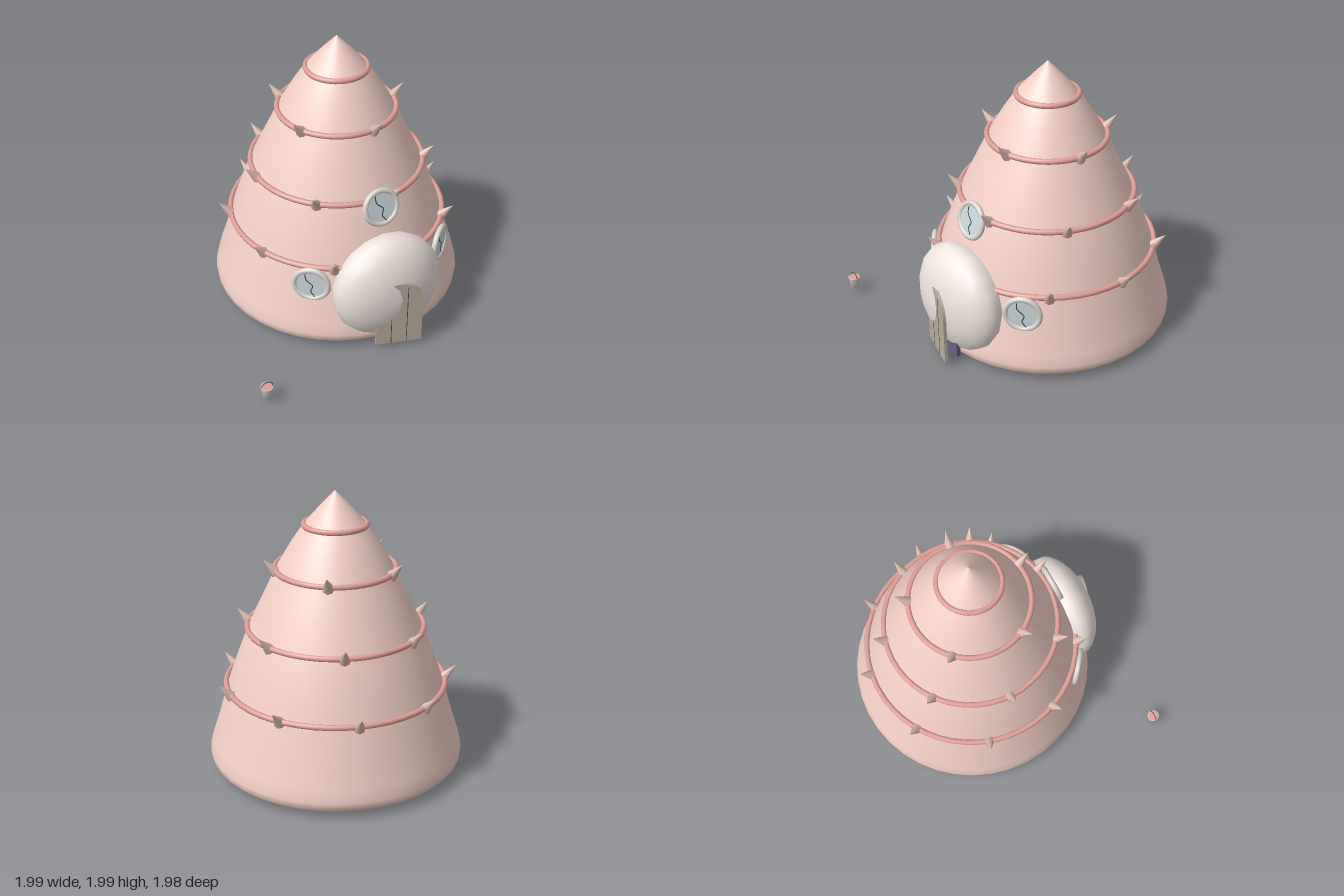
import * as THREE from 'three';

const mat = (color, side = THREE.FrontSide) => new THREE.MeshStandardMaterial({ color, side });
const pink = mat(0xf2cfc6), ringPink = mat(0xdf9f97), spikePink = mat(0xdab8ae);
const plaster = mat(0xf0e5df, THREE.DoubleSide), wood = mat(0xb8ad9e), dark = mat(0x4a4a4a);
const frameMat = mat(0xdcd6d0), glass = mat(0xccd8dc), purple = mat(0x6a6088);
const metal = mat(0xcccccc, THREE.DoubleSide);

const v2 = (pts) => pts.map(([x, y]) => new THREE.Vector2(x, y));

function add(parent, name, geometry, material, x = 0, y = 0, z = 0) {
  const m = new THREE.Mesh(geometry, material);
  m.name = name;
  m.position.set(x, y, z);
  parent.add(m);
  return m;
}

// Round window facing +z: frame, pane and a crack
function makeWindow(name) {
  const g = new THREE.Group();
  g.name = name;
  add(g, 'windowFrame', new THREE.TorusGeometry(0.12, 0.02, 8, 28), frameMat);
  add(g, 'windowPane', new THREE.CylinderGeometry(0.12, 0.12, 0.016, 28), glass).rotation.x = Math.PI / 2;
  const path = [[-0.04, 0.09], [-0.035, 0.04], [0.012, -0.01], [-0.002, -0.055], [0.025, -0.1]];
  const curve = new THREE.CatmullRomCurve3(path.map(([x, y]) => new THREE.Vector3(x, y, 0.009)));
  add(g, 'windowCrack', new THREE.TubeGeometry(curve, 20, 0.004, 5), dark);
  return g;
}

// Arched slab standing on y = 0, centred on x and z
function archGeometry(halfWidth, height, depth) {
  const s = new THREE.Shape();
  s.moveTo(-halfWidth, 0);
  s.lineTo(halfWidth, 0);
  s.lineTo(halfWidth, height - halfWidth);
  s.absarc(0, height - halfWidth, halfWidth, 0, Math.PI);
  s.closePath();
  const geo = new THREE.ExtrudeGeometry(s, { depth, bevelEnabled: false, curveSegments: 10 });
  return geo.translate(0, 0, -depth / 2);
}

export function createModel() {
  const model = new THREE.Group();
  const house = new THREE.Group();
  house.name = 'house';
  house.position.set(0.085, 0, -0.085);
  model.add(house);

  // Conical shell with a rounded foot
  const profile = v2([[0, 0.04], [0.8, 0.04], [0.87, 0.052], [0.9, 0.085], [0.905, 0.13], [0.885, 0.21],
    [0.832, 0.37], [0.762, 0.62], [0.69, 0.82], [0.605, 1.04], [0.505, 1.25], [0.405, 1.46],
    [0.3, 1.64], [0.215, 1.765], [0.11, 1.885], [0, 2]]);
  add(house, 'shellBody', new THREE.LatheGeometry(profile, 40), pink);

  // Raised rings and their spikes: [radius, height, spike count, first angle]
  const rings = [[0.775, 0.625, 9, -2], [0.615, 1.04, 7, -24.5], [0.415, 1.46, 5, 8], [0.213, 1.765, 0, 0]];
  for (const [r, y, count, start] of rings) {
    add(house, 'ring', new THREE.TorusGeometry(r, 0.02, 8, 48), ringPink, 0, y).rotation.x = Math.PI / 2;
    for (let i = 0; i < count; i++) {
      const arm = new THREE.Group();
      arm.name = 'spikeMount';
      arm.rotation.y = -THREE.MathUtils.degToRad(start + (360 / count) * i);
      house.add(arm);
      const cone = new THREE.ConeGeometry(0.042, 0.135, 8).translate(0, 0.0675, 0);
      add(arm, 'spike', cone, spikePink, r - 0.008, y - 0.014).rotation.z = -0.74;
    }
  }

  // Flattened porch dome, open towards the shell
  const dome = [];
  for (let i = 0; i <= 8; i++) {
    const a = THREE.MathUtils.degToRad(-18.6 + (108.6 * i) / 8);
    dome.push(new THREE.Vector2(Math.max(0, 0.41 * Math.cos(a)), 0.22 * Math.sin(a)));
  }
  add(model, 'porchDome', new THREE.LatheGeometry(dome, 18), plaster, 0.085, 0.418, 0.68).rotation.x = Math.PI / 2;

  // Doorway and the plank door standing ajar
  add(model, 'doorway', archGeometry(0.145, 0.5, 0.03), purple, 0.085, 0.055, 0.82);
  const door = new THREE.Group();
  door.name = 'door';
  door.position.set(0.078, 0.052, 0.884);
  door.rotation.y = -0.27;
  model.add(door);
  add(door, 'doorPlanks', archGeometry(0.163, 0.52, 0.022), wood);
  for (const x of [-0.055, 0.055]) {
    add(door, 'plankGroove', new THREE.BoxGeometry(0.005, 0.48, 0.025), dark, x, 0.245, 0);
  }

  // Upper window leans with the wall, side windows stand upright
  const upper = makeWindow('upperWindow');
  upper.position.set(0, 1.008, 0.66);
  upper.rotation.x = -0.25;
  house.add(upper);
  for (const side of [-1, 1]) {
    const w = makeWindow(side > 0 ? 'leftWindow' : 'rightWindow');
    const a = side * 0.685;
    w.position.set(0.81 * Math.sin(a), 0.505, 0.81 * Math.cos(a));
    w.rotation.y = a;
    house.add(w);
  }

  // Bucket beside the house
  const bucket = new THREE.Group();
  bucket.name = 'bucket';
  bucket.position.set(-0.953, 0.052, 0.947);
  model.add(bucket);
  const wall = v2([[0, 0], [0.035, 0], [0.04, 0.075], [0.044, 0.075], [0.044, 0.085], [0.039, 0.085]]);
  add(bucket, 'bucketWall', new THREE.LatheGeometry(wall, 20), metal);
  add(bucket, 'bucketFill', new THREE.CylinderGeometry(0.039, 0.038, 0.008, 20), ringPink, 0, 0.078);
  const handle = add(bucket, 'bucketHandle', new THREE.TorusGeometry(0.04, 0.003, 6, 16, Math.PI), dark, 0, 0.077);
  handle.scale.y = 1.05;

  return model;
}
